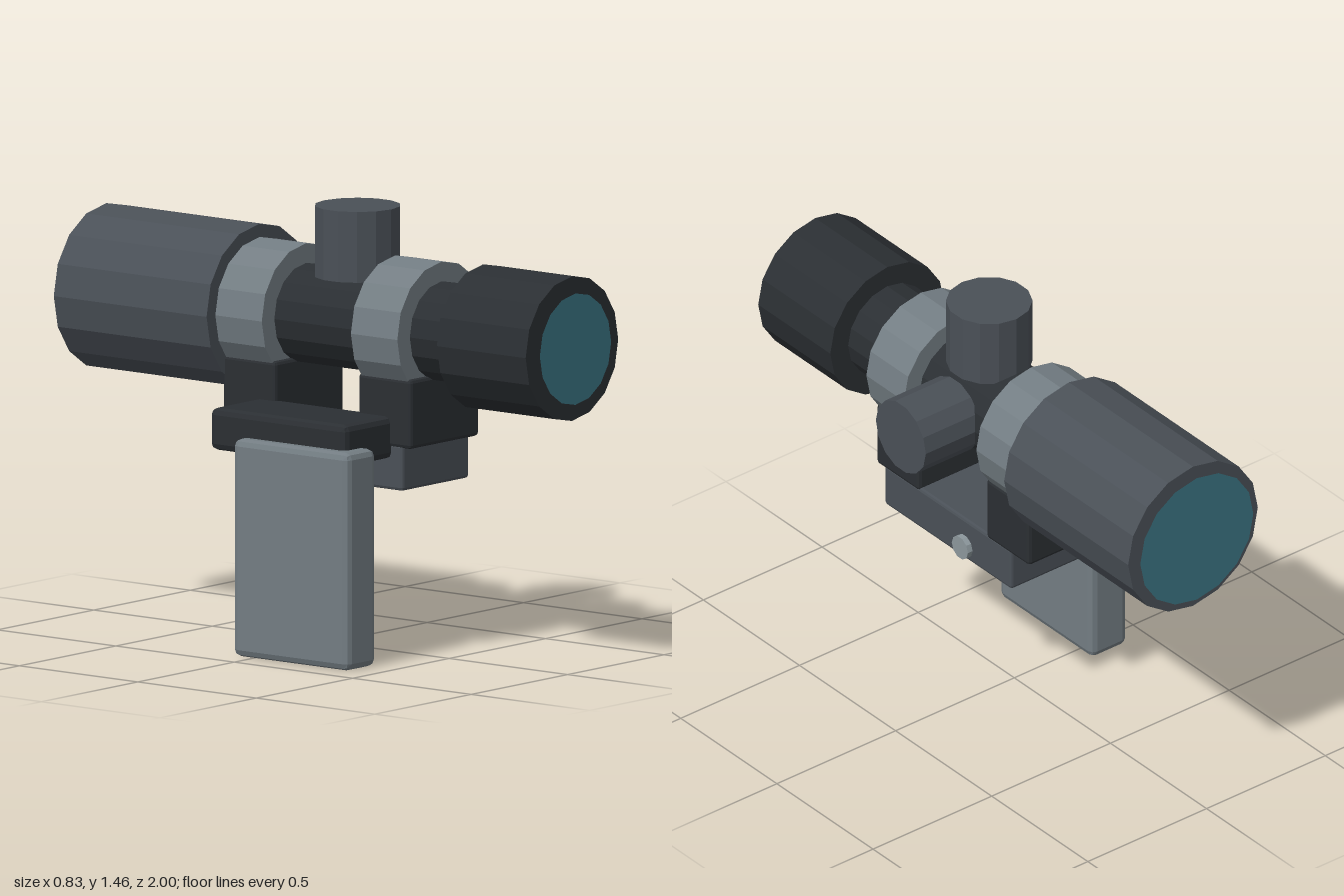
import * as THREE from 'three';
import { RoundedBoxGeometry } from 'three/addons/geometries/RoundedBoxGeometry.js';

const mat = (color) => new THREE.MeshStandardMaterial({ color, flatShading: true });

export function createModel() {
  const model = new THREE.Group();
  model.name = 'scopeSight';
  const dark = mat(0x2b2f33), mid = mat(0x4a5057), light = mat(0x737d83);
  const glass = mat(0x3b7583), steel = mat(0x8c979c);
  const AX = 0.041, AY = 1.075; // optical axis
  const TURRET_Z = 0.08;

  const add = (name, geometry, material, x, y, z) => {
    const mesh = new THREE.Mesh(geometry, material);
    mesh.name = name;
    mesh.position.set(x, y, z);
    model.add(mesh);
    return mesh;
  };
  // Cylinder along the optical axis between two z positions
  const barrel = (name, r, z0, z1, material) =>
    add(name, new THREE.CylinderGeometry(r, r, z1 - z0, 16).rotateX(Math.PI / 2),
      material, AX, AY, (z0 + z1) / 2);
  // Chamfered box given by its extents
  const block = (name, [x0, x1], [y0, y1], [z0, z1], chamfer, material) =>
    add(name, new RoundedBoxGeometry(x1 - x0, y1 - y0, z1 - z0, 1, chamfer),
      material, (x0 + x1) / 2, (y0 + y1) / 2, (z0 + z1) / 2);

  // Optical tube
  barrel('mainTube', 0.165, -0.4, 0.65, dark);
  barrel('eyepiece', 0.24, 0.61, 0.985, dark);
  barrel('objectiveBell', 0.273, -0.98, -0.335, mid);

  // Lenses
  add('frontLens', new THREE.CircleGeometry(0.185, 16), glass, AX, AY, 1);
  add('rearLens', new THREE.CircleGeometry(0.238, 16), glass, AX, AY, -1).rotation.y = Math.PI;

  // Clamp rings with their mounting blocks
  for (const [name, z] of [['front', 0.337], ['rear', -0.235]]) {
    barrel(name + 'Ring', 0.23, z - 0.098, z + 0.098, light);
    block(name + 'RingMount', [-0.136, 0.219], [0.705, 0.935], [z - 0.112, z + 0.112], 0.012, dark);
  }

  // Adjustment turrets
  add('topTurret', new THREE.CylinderGeometry(0.142, 0.142, 0.235, 14), mid, AX, 1.338, TURRET_Z);
  add('sideTurret', new THREE.CylinderGeometry(0.13, 0.13, 0.23, 14).rotateZ(-Math.PI / 2),
    mid, 0.298, AY, TURRET_Z);

  // Base rail, side arm and hanging plate
  block('baseRail', [-0.131, 0.215], [0.562, 0.715], [-0.25, 0.41], 0.01, mid);
  block('sideArm', [-0.37, -0.1], [0.665, 0.805], [-0.212, 0.362], 0.022, dark);
  block('sidePlate', [-0.416, -0.265], [0, 0.722], [-0.077, 0.41], 0.023, light);

  // Clamp screw
  add('clampScrew', new THREE.CylinderGeometry(0.042, 0.042, 0.02, 10).rotateZ(-Math.PI / 2),
    steel, 0.26, 0.648, -0.05);

  return model;
}
